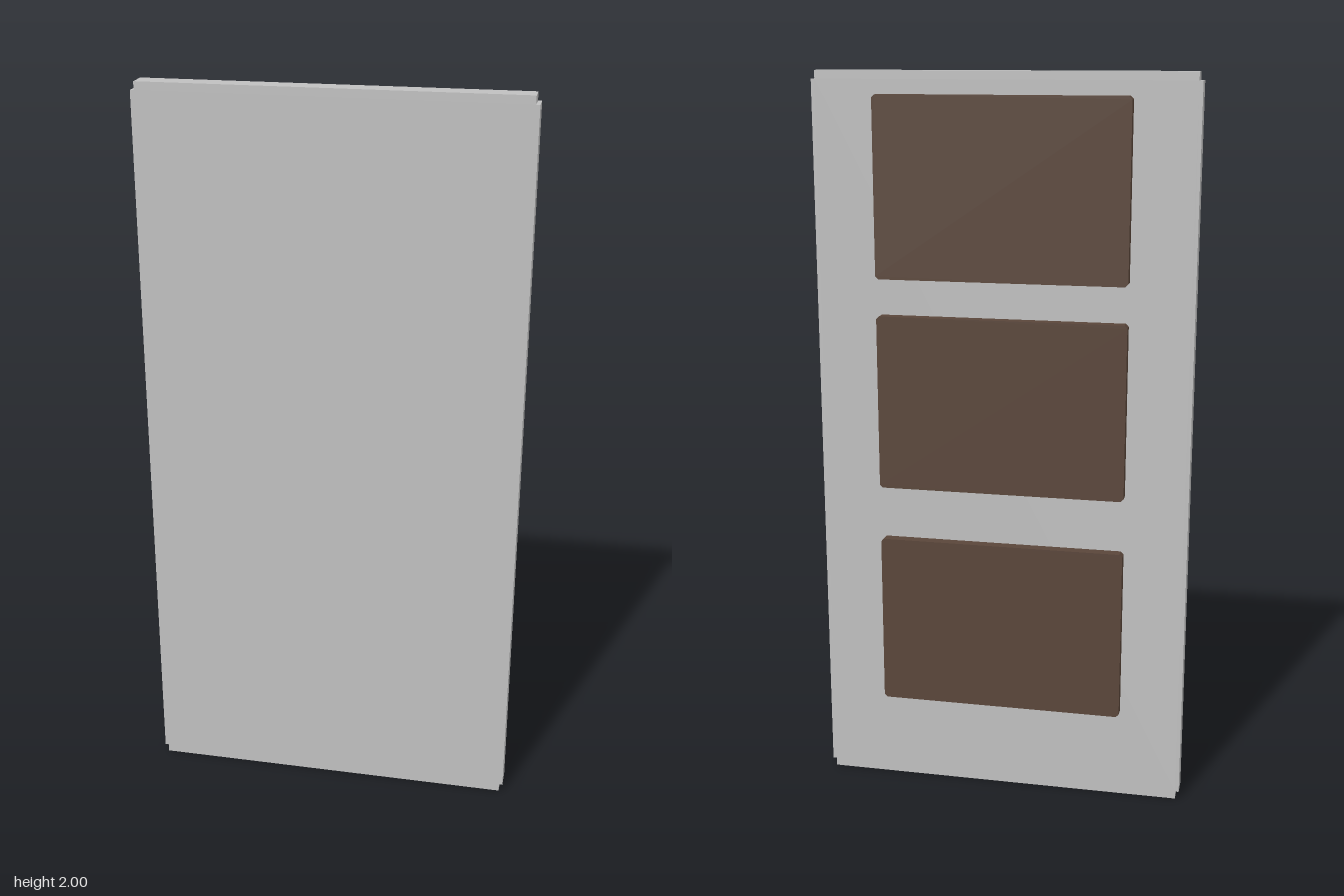
import * as THREE from 'three';

// Extrudes an outline along z between two planes
function plate(points, zBack, zFront, material, name) {
  const shape = new THREE.Shape(points.map(([x, y]) => new THREE.Vector2(x, y)));
  const geometry = new THREE.ExtrudeGeometry(shape, { depth: zFront - zBack, bevelEnabled: false });
  geometry.translate(0, 0, zBack);
  const mesh = new THREE.Mesh(geometry, material);
  mesh.name = name;
  return mesh;
}

// Rectangle with square-notched corners
function notchedRect(w, h, nx, ny) {
  return [
    [-w + nx, -h], [w - nx, -h], [w - nx, -h + ny], [w, -h + ny],
    [w, h - ny], [w - nx, h - ny], [w - nx, h], [-w + nx, h],
    [-w + nx, h - ny], [-w, h - ny], [-w, -h + ny], [-w + nx, -h + ny],
  ];
}

// Rectangle with cut corners
function chamferedRect(w, h, c) {
  return [
    [-w + c, -h], [w - c, -h], [w, -h + c], [w, h - c],
    [w - c, h], [-w + c, h], [-w, h - c], [-w, -h + c],
  ];
}

export function createModel() {
  const group = new THREE.Group();
  const grey = new THREE.MeshStandardMaterial({ color: 0xc0c0c0 });
  grey.name = 'light grey';
  const brown = new THREE.MeshStandardMaterial({ color: 0x5a463a });
  brown.name = 'dark brown';

  // Main panel with notched corners
  const panel = plate(notchedRect(0.511, 1, 0.01, 0.022), -0.014, 0.043, grey, 'panel');
  panel.position.y = 1;
  group.add(panel);

  // Three boards on the back
  [0.49, 1.12, 1.70].forEach((y, i) => {
    const board = plate(chamferedRect(0.339, 0.24, 0.008), -0.044, -0.014, brown, `backBoard${i + 1}`);
    board.position.y = y;
    group.add(board);
  });

  return group;
}
